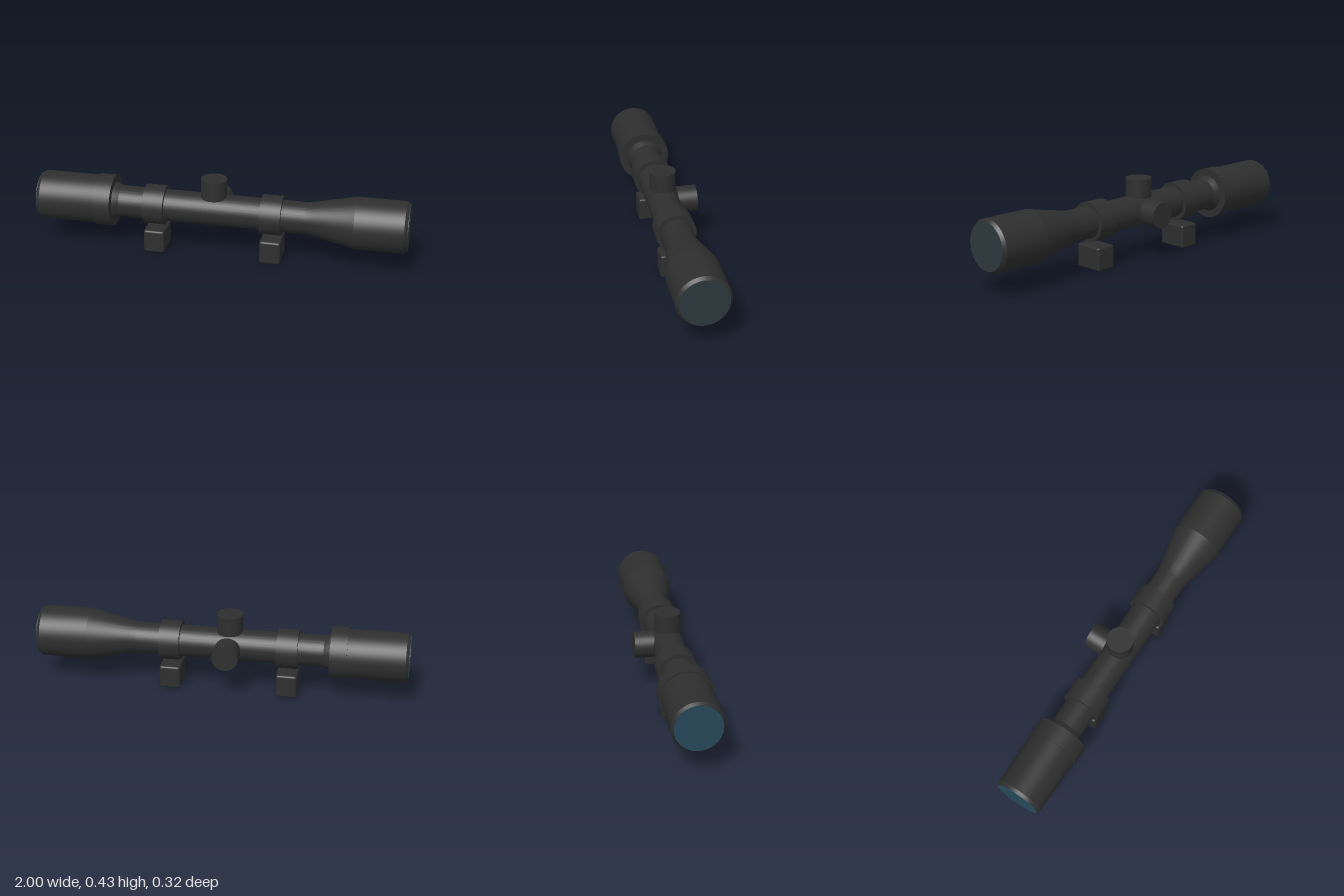
import * as THREE from 'three';
import { toCreasedNormals } from 'three/addons/utils/BufferGeometryUtils.js';
import { RoundedBoxGeometry } from 'three/addons/geometries/RoundedBoxGeometry.js';

const AXIS_Y = 0.255, AXIS_Z = 0.02, SIDES = 64;

export function createModel() {
  const model = new THREE.Group();
  model.name = 'rifleScope';

  const black = new THREE.MeshStandardMaterial({ color: 0x2e2e2e });
  black.name = 'matte black';
  const blueGlass = new THREE.MeshStandardMaterial({ color: 0x26485a });
  blueGlass.name = 'blue glass';
  const darkGlass = new THREE.MeshStandardMaterial({ color: 0x2c383d });
  darkGlass.name = 'dark glass';

  function add(name, geometry, material, x, y, z) {
    const mesh = new THREE.Mesh(geometry, material);
    mesh.name = name;
    mesh.position.set(x, y, z);
    model.add(mesh);
    return mesh;
  }

  // Turned part along x, from [x, radius] pairs
  function turned(name, profile) {
    const points = profile.map(([x, r]) => new THREE.Vector2(r, x));
    const geometry = new THREE.LatheGeometry(points, SIDES).rotateZ(-Math.PI / 2);
    add(name, toCreasedNormals(geometry, 0.15), black, 0, AXIS_Y, AXIS_Z);
  }

  // Disc or drum along x
  function drum(name, x0, x1, radius, material) {
    const geometry = new THREE.CylinderGeometry(radius, radius, x1 - x0, SIDES).rotateZ(-Math.PI / 2);
    add(name, geometry, material, (x0 + x1) / 2, AXIS_Y, AXIS_Z);
  }

  // Eyepiece with chamfered rim
  turned('eyepiece', [[-0.997, 0], [-0.997, 0.12], [-0.98, 0.131], [-0.66, 0.131], [-0.66, 0]]);
  drum('zoomRing', -0.675, -0.585, 0.139, black);

  // Main tube: short neck, straight run, flare and objective bell
  turned('mainTube', [
    [-0.6, 0], [-0.6, 0.104], [-0.585, 0.1], [-0.55, 0.085], [0.46, 0.085],
    [0.5, 0.091], [0.72, 0.138], [0.98, 0.138], [0.997, 0.125], [0.997, 0],
  ]);

  // Lenses
  drum('eyepieceLens', -1, -0.994, 0.119, blueGlass);
  drum('objectiveLens', 0.994, 1, 0.124, darkGlass);

  // Clamping rings with mounting blocks below
  for (const [side, x] of [['rear', -0.357], ['front', 0.277]]) {
    drum(side + 'MountRing', x - 0.056, x + 0.056, 0.106, black);
    add(side + 'MountBlock', new RoundedBoxGeometry(0.113, 0.128, 0.164, 3, 0.012), black, x, 0.064, AXIS_Z);
  }

  // Adjustment turrets on top and at the back
  const turret = new THREE.CylinderGeometry(0.07, 0.07, 0.104, 48);
  add('elevationTurret', turret, black, -0.04, 0.382, AXIS_Z);
  add('windageTurret', turret, black, -0.04, AXIS_Y, -0.107).rotation.x = -Math.PI / 2;

  return model;
}
